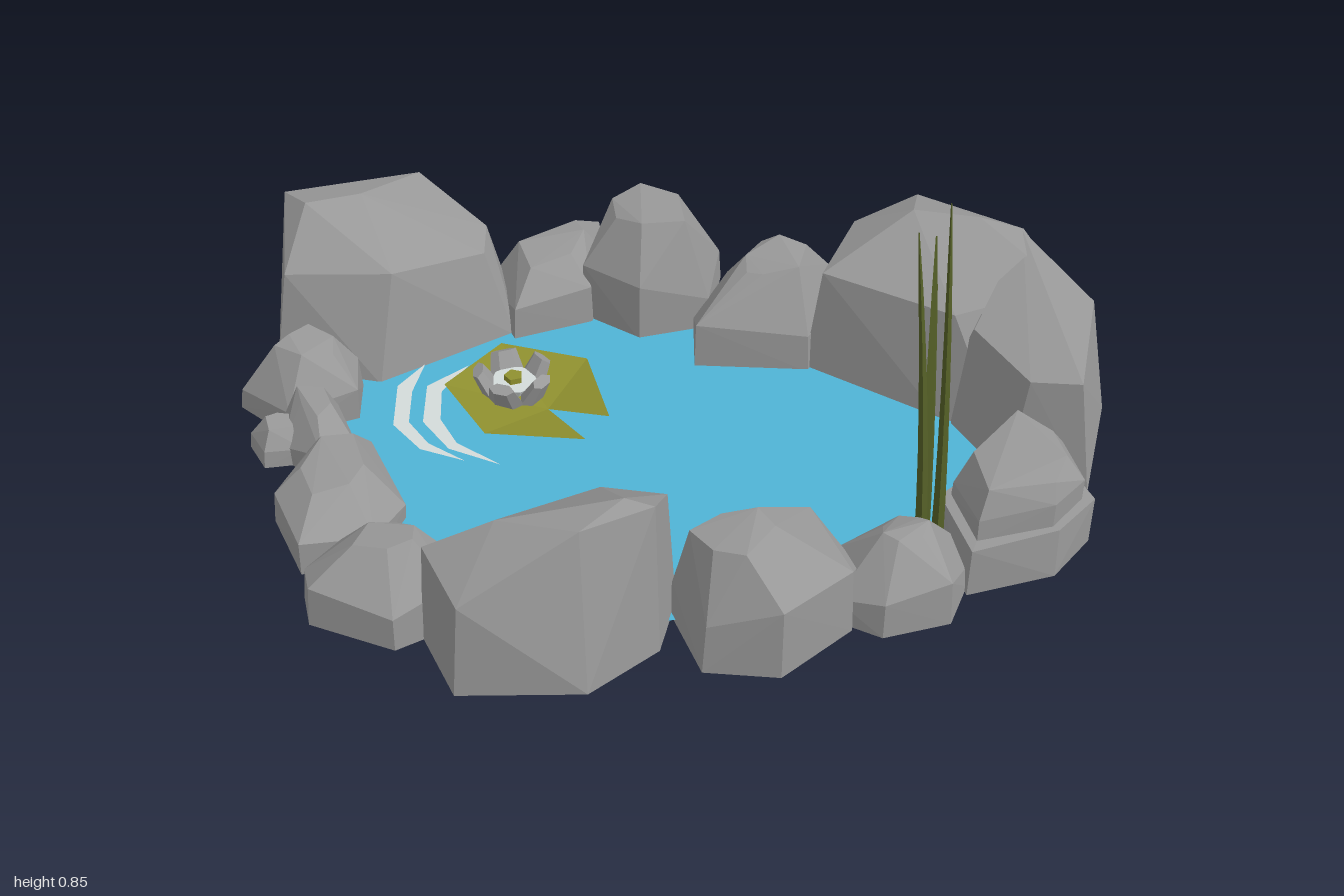
import * as THREE from 'three';
import { ConvexGeometry } from 'three/addons/geometries/ConvexGeometry.js';

const mat = (name, color) =>
  new THREE.MeshStandardMaterial({ name, color, flatShading: true, side: THREE.DoubleSide });

// Small seeded generator for the facets of the stones
function seeded(seed) {
  let s = seed * 7919 + 17;
  return () => (s = (s * 16807) % 2147483647) / 2147483647;
}

// Flat sheet at height y from [x, z] pairs
const sheet = (pts, y) =>
  new THREE.ShapeGeometry(new THREE.Shape(pts.map(([x, z]) => new THREE.Vector2(x, -z))))
    .rotateX(-Math.PI / 2).translate(0, y, 0);

// Faceted hull without its underside at height y0
function openHull(points, y0) {
  const p = new ConvexGeometry(points).attributes.position;
  const kept = [];
  for (let i = 0; i < p.count; i += 3) {
    const corners = [i, i + 1, i + 2];
    if (corners.every((j) => Math.abs(p.getY(j) - y0) < 1e-4)) continue;
    for (const j of corners) kept.push(p.getX(j), p.getY(j), p.getZ(j));
  }
  const g = new THREE.BufferGeometry();
  g.setAttribute('position', new THREE.Float32BufferAttribute(kept, 3));
  g.computeVertexNormals();
  return g;
}

export function createModel() {
  const stone = mat('stone grey', 0x989898);
  const blue = mat('water blue', 0x4fb3d5);
  const reed = mat('reed green', 0x535e26);
  const leaf = mat('leaf olive', 0x8f902f);
  const white = mat('pale white', 0xd3dad9);

  const group = new THREE.Group();
  const add = (name, geometry, material, parent = group) => {
    const mesh = new THREE.Mesh(geometry, material);
    mesh.name = name;
    parent.add(mesh);
  };

  // Water: a sheet reaching under the stones
  add('water', sheet([
    [-0.74, -0.08], [-0.62, -0.35], [-0.32, -0.55], [0, -0.6], [0.3, -0.56], [0.62, -0.5],
    [0.85, -0.2], [0.83, 0.1], [0.6, 0.27], [0.25, 0.45], [-0.1, 0.62], [-0.28, 0.6],
    [-0.55, 0.35], [-0.74, 0.1],
  ], 0.008), blue);

  // Ring of stones: all are hulls over a ground outline
  const stones = new THREE.Group();
  stones.name = 'stones';
  group.add(stones);

  // Large stones: outline plus chosen upper corners [x, y, z]
  const bigStone = (name, foot, tops) => {
    const base = foot.map(([x, z]) => new THREE.Vector3(x, 0, z));
    const crown = tops.map((p) => new THREE.Vector3(...p));
    add(name, openHull([...base, ...crown], 0), stone, stones);
  };

  // Small stones: outline, a shoulder ring and an uneven crown gathered round a peak
  let seed = 1;
  const smallStone = (name, foot, height, crown, [px, pz], y0 = 0) => {
    const rnd = seeded(seed++);
    const cx = foot.reduce((s, p) => s + p[0], 0) / foot.length;
    const cz = foot.reduce((s, p) => s + p[1], 0) / foot.length;
    const pts = [];
    for (const [x, z] of foot) {
      const ring = (k, y, ox, oz) =>
        pts.push(new THREE.Vector3(ox + (x - cx) * k, y0 + y, oz + (z - cz) * k));
      ring(1.03, 0, cx, cz);
      ring(0.97 + rnd() * 0.08, height * (0.25 + rnd() * 0.35), cx, cz);
      ring(crown * (0.75 + rnd() * 0.4), height * (0.87 + rnd() * 0.13), px, pz);
    }
    add(name, openHull(pts, y0), stone, stones);
  };

  bigStone('leftBackBoulder',
    [[-1, -0.35], [-0.7, -0.62], [-0.48, -0.55], [-0.42, -0.4], [-0.65, -0.12], [-0.9, -0.1]],
    [[-0.96, 0.34, -0.34], [-0.88, 0.36, -0.28], [-0.78, 0.35, -0.37], [-0.71, 0.31, -0.56],
      [-0.52, 0.23, -0.5], [-0.49, 0.22, -0.4], [-0.64, 0.26, -0.2], [-0.88, 0.25, -0.14],
      [-0.45, 0.12, -0.42]]);
  bigStone('frontBoulder',
    [[-0.25, 0.65], [-0.13, 0.79], [0.12, 0.71], [0.22, 0.55], [0.21, 0.4], [0.04, 0.35], [-0.18, 0.57]],
    [[-0.24, 0.24, 0.65], [-0.12, 0.22, 0.78], [-0.1, 0.31, 0.61], [0.08, 0.34, 0.63],
      [0.14, 0.36, 0.53], [0.2, 0.345, 0.52], [0.19, 0.28, 0.4], [0.04, 0.24, 0.37]]);
  bigStone('backRightBoulder',
    [[0.27, -0.47], [0.27, -0.69], [0.47, -0.8], [0.74, -0.73], [0.9, -0.57], [0.76, -0.33], [0.62, -0.36]],
    [[0.3, 0.26, -0.49], [0.33, 0.29, -0.68], [0.46, 0.34, -0.76], [0.47, 0.36, -0.66],
      [0.62, 0.355, -0.68], [0.72, 0.33, -0.7], [0.84, 0.29, -0.55], [0.62, 0.26, -0.41]]);
  bigStone('rightBackBoulder',
    [[0.74, -0.73], [0.96, -0.52], [0.97, -0.2], [0.79, -0.19], [0.64, -0.35], [0.6, -0.55]],
    [[0.72, 0.33, -0.69], [0.91, 0.285, -0.52], [0.93, 0.27, -0.22], [0.82, 0.26, -0.21],
      [0.67, 0.26, -0.37], [0.82, 0.3, -0.48]]);

  smallStone('leftStone',
    [[-0.84, -0.13], [-0.69, -0.1], [-0.65, 0.02], [-0.77, 0.12], [-0.92, 0.05], [-0.91, -0.02]],
    0.175, 0.5, [-0.78, -0.02]);
  smallStone('leftPebble', [[-0.84, 0.18], [-0.78, 0.24], [-0.7, 0.2], [-0.72, 0.12], [-0.8, 0.13]],
    0.09, 0.55, [-0.77, 0.17]);
  smallStone('leftWedge', [[-0.79, 0.12], [-0.68, 0.05], [-0.58, 0.18], [-0.63, 0.26], [-0.75, 0.2]],
    0.14, 0.45, [-0.7, 0.13]);
  smallStone('frontLeftStone',
    [[-0.67, 0.2], [-0.56, 0.16], [-0.42, 0.32], [-0.43, 0.46], [-0.56, 0.54], [-0.68, 0.4]],
    0.135, 0.55, [-0.57, 0.33]);
  smallStone('frontLeftCobble',
    [[-0.52, 0.61], [-0.48, 0.5], [-0.34, 0.44], [-0.23, 0.48], [-0.2, 0.6], [-0.29, 0.7], [-0.48, 0.68]],
    0.19, 0.38, [-0.36, 0.56]);
  smallStone('frontRightStone',
    [[0.21, 0.43], [0.27, 0.27], [0.44, 0.21], [0.56, 0.29], [0.57, 0.38], [0.47, 0.55], [0.32, 0.58]],
    0.275, 0.5, [0.35, 0.43]);
  smallStone('reedStone',
    [[0.51, 0.25], [0.59, 0.13], [0.72, 0.14], [0.77, 0.18], [0.76, 0.3], [0.64, 0.38], [0.54, 0.36]],
    0.19, 0.38, [0.645, 0.24]);
  const ledge = [[0.69, 0.03], [0.79, -0.2], [0.92, -0.19], [0.99, -0.04], [0.94, 0.09], [0.78, 0.2]];
  smallStone('rightLedge', ledge, 0.12, 0.95, [0.855, -0.02]);
  smallStone('rightCapStone', ledge.map(([x, z]) => [0.85 + (x - 0.855) * 0.86, z * 0.82]),
    0.125, 0.8, [0.85, -0.02], 0.108);
  smallStone('backStone',
    [[0.03, -0.4], [0, -0.5], [0.02, -0.7], [0.12, -0.7], [0.26, -0.73], [0.3, -0.6], [0.28, -0.46], [0.12, -0.43]],
    0.24, 0.55, [0.17, -0.58]);
  smallStone('backTallStone',
    [[-0.3, -0.66], [-0.22, -0.76], [-0.02, -0.78], [0.01, -0.56], [-0.13, -0.47], [-0.28, -0.52]],
    0.295, 0.58, [-0.16, -0.62]);
  smallStone('backLeftStone', [[-0.53, -0.53], [-0.33, -0.77], [-0.28, -0.66], [-0.26, -0.5], [-0.41, -0.38]],
    0.18, 0.55, [-0.37, -0.57]);

  // Reeds: thin blades that bend and narrow toward their tips
  const reeds = new THREE.Group();
  reeds.name = 'reeds';
  group.add(reeds);
  for (const [bx, bz, tx, tz, h, angle] of [
    [0.66, 0.11, 0.6, 0.085, 0.78, 0.2],
    [0.655, 0.06, 0.628, 0.04, 0.75, -0.4],
    [0.69, 0.08, 0.655, 0.065, 0.845, 0.15],
  ]) {
    const g = new THREE.CylinderGeometry(0.03, 0.03, h, 4, 6, true).scale(0.45, 1, 1).rotateY(angle);
    const p = g.attributes.position;
    for (let i = 0; i < p.count; i++) {
      const t = THREE.MathUtils.clamp(p.getY(i) / h + 0.5, 0, 1);
      const b = t ** 1.5;
      const w = 0.1 + 0.9 * (1 - t) ** 0.7;
      p.setXYZ(i, p.getX(i) * w + bx + (tx - bx) * b, t * h, p.getZ(i) * w + bz + (tz - bz) * b);
    }
    add('reedBlade', g, reed, reeds);
  }

  // Lily pad: a shallow notched dish
  const rim = [[-0.085, -0.085], [-0.2, -0.28], [-0.41, -0.28], [-0.48, -0.09], [-0.33, 0.055], [-0.11, 0.01]];
  const padPoints = [];
  for (let i = 0; i < 5; i++) {
    const [a, b] = [rim[i], rim[i + 1]];
    padPoints.push(-0.24, 0.024, -0.115, a[0], 0.06, a[1], b[0], 0.06, b[1]);
  }
  const pad = new THREE.BufferGeometry();
  pad.setAttribute('position', new THREE.Float32BufferAttribute(padPoints, 3));
  pad.computeVertexNormals();
  add('lilyPad', pad, leaf);

  // Flower: five cupped petals around a pale middle and a small heart
  const flower = new THREE.Group();
  flower.name = 'flower';
  flower.position.set(-0.33, 0.04, -0.14);
  group.add(flower);
  for (let i = 0; i < 5; i++) {
    const petal = new THREE.Group();
    petal.name = 'petal';
    petal.rotation.y = (i / 5) * Math.PI * 2 - Math.PI / 2;
    flower.add(petal);
    const g = new THREE.CylinderGeometry(0.03, 0.042, 0.06, 6).scale(0.5, 1, 1);
    add('petalShell', g.rotateZ(-0.5).translate(0.066, 0.032, 0), stone, petal);
  }
  add('flowerMiddle', new THREE.CylinderGeometry(0.052, 0.04, 0.02, 10).translate(0, 0.02, 0), white, flower);
  add('flowerHeart', new THREE.CylinderGeometry(0.022, 0.022, 0.02, 5).translate(0, 0.034, 0), leaf, flower);

  // Ripples: two tapering arcs on the water
  for (const pts of [
    [[-0.575, -0.21], [-0.605, -0.11], [-0.56, 0.03], [-0.47, 0.095], [-0.36, 0.105],
      [-0.46, 0.07], [-0.53, 0.01], [-0.565, -0.1]],
    [[-0.475, -0.235], [-0.54, -0.13], [-0.5, 0], [-0.41, 0.075], [-0.28, 0.095],
      [-0.4, 0.05], [-0.465, -0.02], [-0.5, -0.12]],
  ]) add('ripple', sheet(pts, 0.014), white);
  return group;
}
